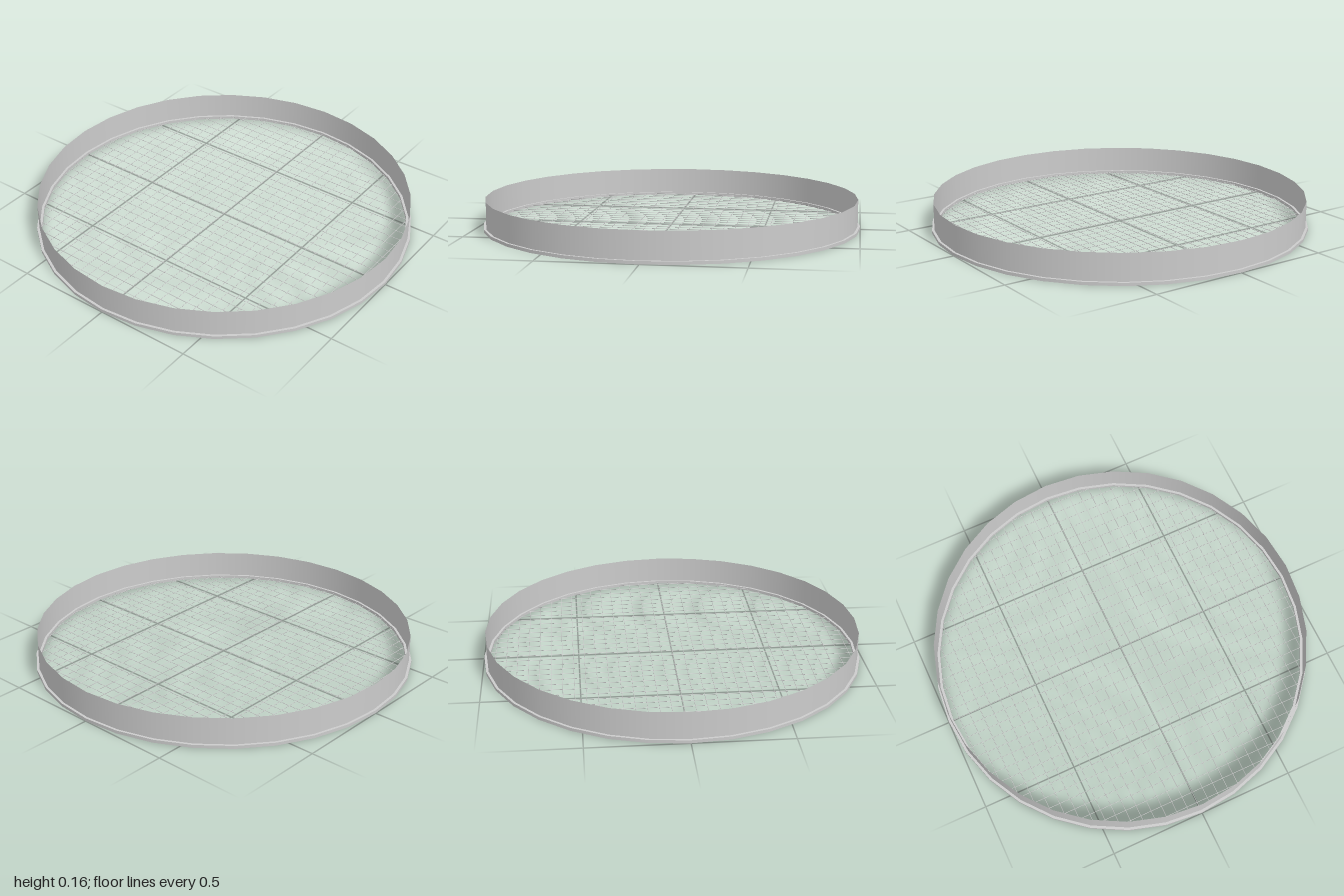
import * as THREE from 'three';

const SIDES = 32;        // facets around the sieve
const WALL_R = 0.987;
const HEIGHT = 0.157;
const RIM_H = 0.016;
const PITCH = 0.0588;    // spacing of the wires
const WIRE_R = 0.0015;

export function createModel() {
  const group = new THREE.Group();
  const material = new THREE.MeshStandardMaterial({ color: 0xcccccc });
  const thin = new THREE.MeshStandardMaterial({ color: 0xcccccc, side: THREE.DoubleSide });

  const add = (name, geometry, mat, parent = group) => {
    const mesh = new THREE.Mesh(geometry, mat);
    mesh.name = name;
    parent.add(mesh);
    return mesh;
  };

  // Thin, open cylindrical wall
  const wall = add('wall', new THREE.CylinderGeometry(WALL_R, WALL_R, HEIGHT, SIDES, 1, true), thin);
  wall.position.y = HEIGHT / 2;

  // Flat rim clamping the mesh, separate strips keep its edges sharp
  const rim = new THREE.Group();
  rim.name = 'bottomRim';
  group.add(rim);
  const corners = [[0.974, 0], [1, 0], [1, RIM_H], [0.974, RIM_H]].map(([r, y]) => new THREE.Vector2(r, y));
  ['rimUnderside', 'rimOuterFace', 'rimTop', 'rimInnerFace'].forEach((name, i) => {
    add(name, new THREE.LatheGeometry([corners[i], corners[(i + 1) % 4]], SIDES), thin, rim);
  });

  // Wire mesh: two crossing sets of wires, each cut to the circle
  const mesh = new THREE.Group();
  mesh.name = 'wireMesh';
  group.add(mesh);
  for (let i = -16; i <= 16; i++) {
    const offset = i * PITCH;
    const length = 2 * Math.sqrt(0.98 ** 2 - offset ** 2);
    const geometry = new THREE.CylinderGeometry(WIRE_R, WIRE_R, length, 6);
    const across = add('wireAcross', geometry, material, mesh);
    across.rotation.z = Math.PI / 2;
    across.position.set(0, RIM_H / 2, offset);
    const along = add('wireAlong', geometry, material, mesh);
    along.rotation.x = Math.PI / 2;
    along.position.set(offset, RIM_H / 2, 0);
  }

  return group;
}
